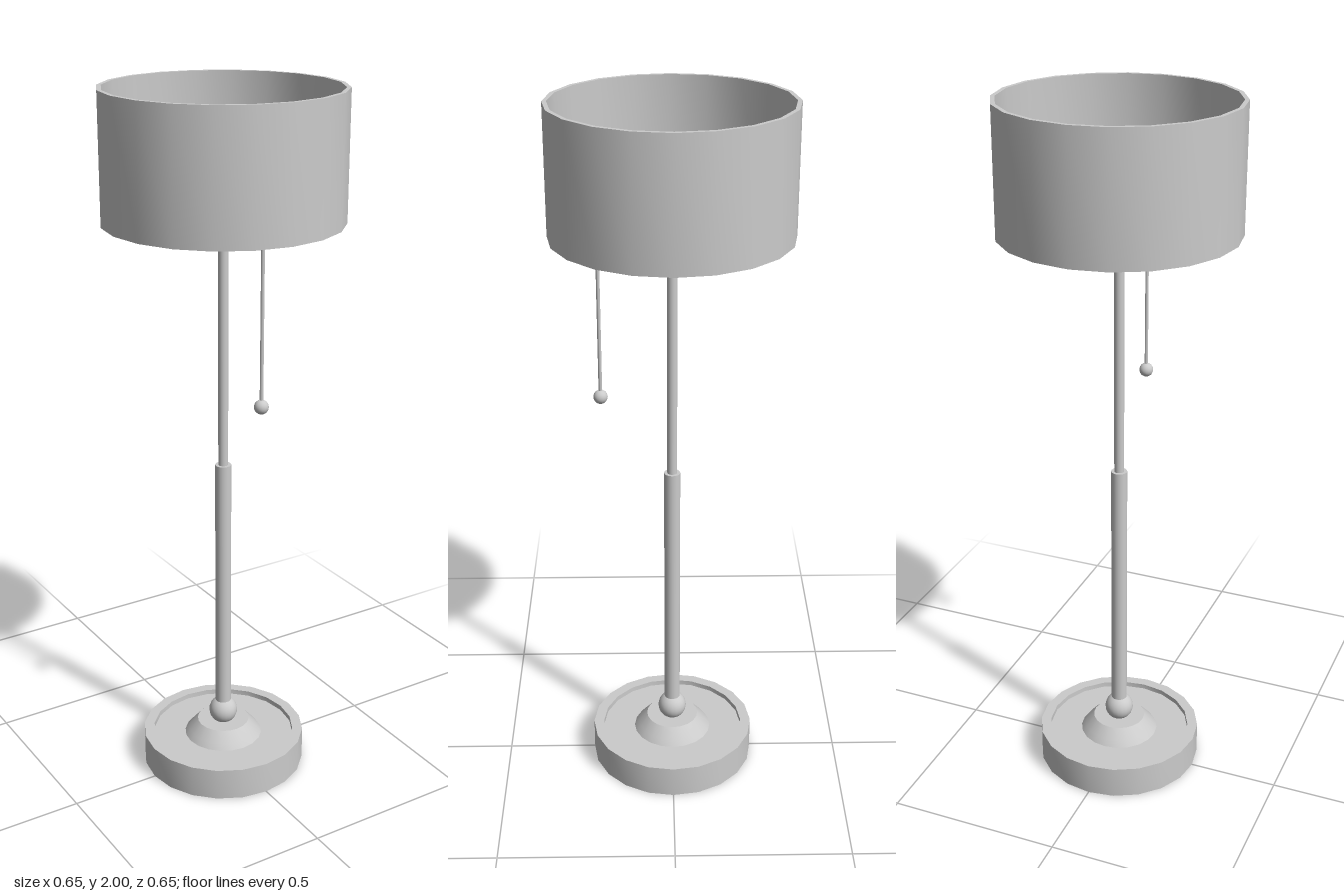
import * as THREE from 'three';
import { toCreasedNormals } from 'three/addons/utils/BufferGeometryUtils.js';

const SIDES = 20;

export function createModel() {
  const lamp = new THREE.Group();
  lamp.name = 'tableLamp';
  const material = new THREE.MeshStandardMaterial({ color: 0xcccccc });

  const add = (name, geometry, x = 0, y = 0, z = 0) => {
    const mesh = new THREE.Mesh(geometry, material);
    mesh.name = name;
    mesh.position.set(x, y, z);
    lamp.add(mesh);
    return mesh;
  };
  // Turned part: profile of [radius, height], outside running upward
  const turned = (name, profile) => {
    const points = profile.map(([r, y]) => new THREE.Vector2(r, y));
    return add(name, toCreasedNormals(new THREE.LatheGeometry(points, SIDES), Math.PI / 5));
  };
  // Upright rod between two heights
  const rod = (name, radius, y0, y1, x = 0, z = 0, sides = SIDES) =>
    add(name, new THREE.CylinderGeometry(radius, radius, y1 - y0, sides), x, (y0 + y1) / 2, z);

  // Round foot with a raised rim, and the collar on it
  turned('base', [[0, 0], [0.24, 0], [0.24, 0.095], [0.21, 0.095], [0.21, 0.08], [0, 0.08]]);
  turned('baseCollar', [[0.115, 0.08], [0.102, 0.097], [0.077, 0.125], [0, 0.125]]);

  // Ball joint and two-part stem
  add('stemBall', new THREE.SphereGeometry(0.042, SIDES, 14), 0, 0.155, 0);
  rod('lowerStem', 0.023, 0.185, 0.955);
  rod('upperStem', 0.014, 0.95, 1.74);

  // Thick hemispherical bowl on top of the stem
  const rimY = 1.84, outer = 0.108, inner = 0.084, steps = 8;
  const bowl = [];
  for (let i = 0; i <= steps; i++) {
    const a = (i / steps) * Math.PI / 2;
    bowl.push([outer * Math.sin(a), rimY - outer * Math.cos(a)]);
  }
  for (let i = steps; i >= 0; i--) {
    const a = (i / steps) * Math.PI / 2;
    bowl.push([inner * Math.sin(a), rimY - inner * Math.cos(a)]);
  }
  turned('bowl', bowl);

  // Crossed bars that carry the shade
  const armY = 1.756;
  const barGeometry = new THREE.CylinderGeometry(0.015, 0.015, 0.632, SIDES);
  add('sideBar', barGeometry, 0, armY, 0).rotation.z = Math.PI / 2;
  add('frontBackBar', barGeometry, 0, armY, 0).rotation.x = Math.PI / 2;

  // Open drum shade with a wall thickness
  turned('shade', [[0.327, 1.65], [0.327, 2], [0.315, 2], [0.315, 1.65], [0.327, 1.65]]);

  // Pull cord hanging from the front bar
  rod('pullCord', 0.005, 1.19, armY, -0.003, 0.197, 8);
  add('pullKnob', new THREE.SphereGeometry(0.02, 16, 12), -0.003, 1.19, 0.197);

  return lamp;
}
